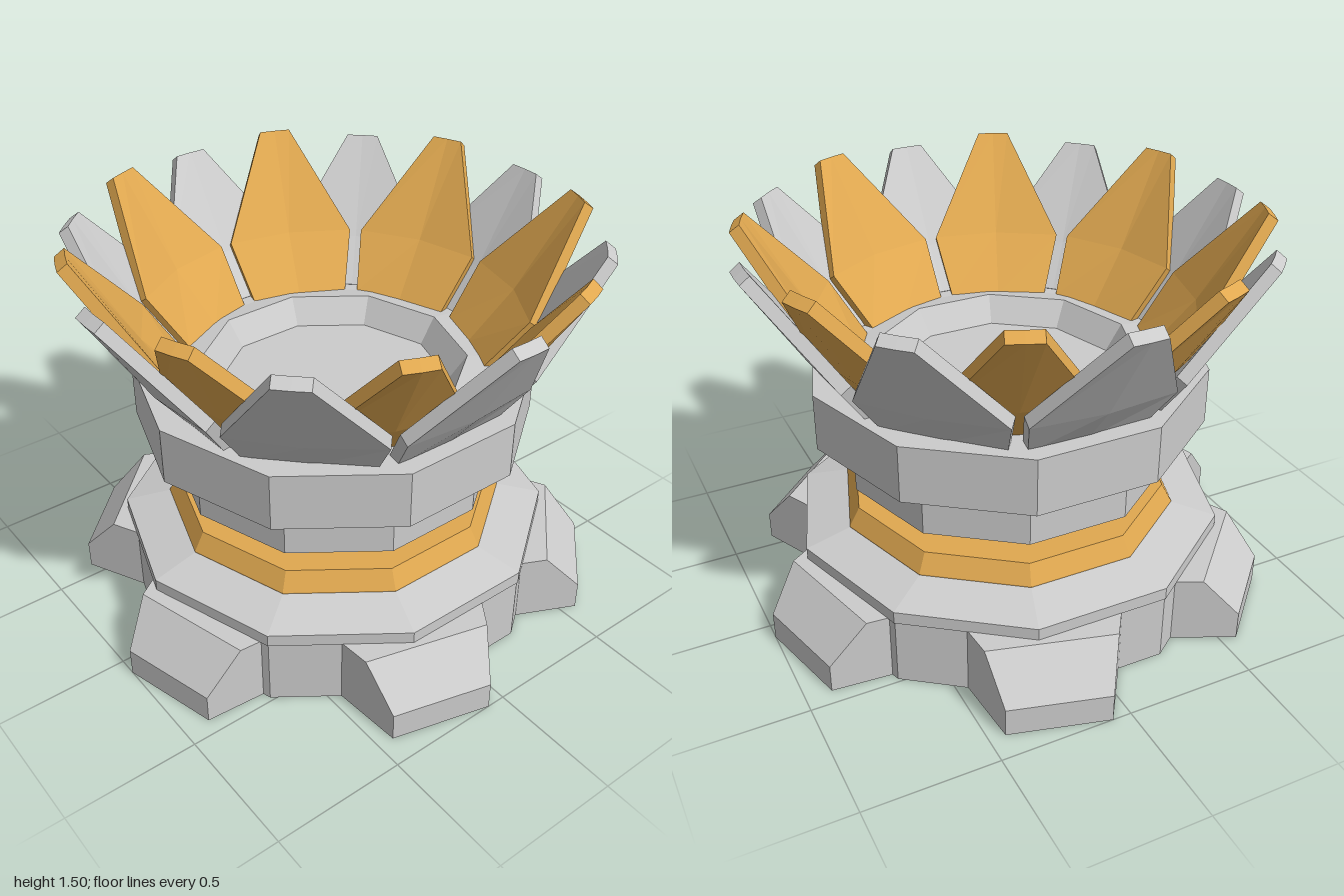
import * as THREE from 'three';

const SIDES = 10;
const grey = new THREE.MeshStandardMaterial({ color: 0xcccccc, flatShading: true });
const gold = new THREE.MeshStandardMaterial({ color: 0xe0a850, flatShading: true });

// Ten-sided turned part from [radius, y] pairs, bottom to top
function turned(name, profile, material = grey) {
  const points = profile.map(([r, y]) => new THREE.Vector2(r, y));
  const mesh = new THREE.Mesh(new THREE.LatheGeometry(points, SIDES), material);
  mesh.name = name;
  return mesh;
}

// Buttress foot: sloped side profile, narrowing outwards
function footGeometry() {
  const profile = [[0.6, 0], [0.985, 0], [0.985, 0.11], [0.85, 0.264], [0.6, 0.264]];
  const shape = new THREE.Shape(profile.map(([r, y]) => new THREE.Vector2(r, y)));
  const geometry = new THREE.ExtrudeGeometry(shape, { depth: 1, bevelEnabled: false });
  const pos = geometry.attributes.position;
  for (let i = 0; i < pos.count; i++) {
    const r = pos.getX(i);
    const halfWidth = 0.19 + (0.985 - r) * 0.35;
    pos.setXYZ(i, -(pos.getZ(i) - 0.5) * 2 * halfWidth, pos.getY(i), r);
  }
  geometry.computeVertexNormals();
  return geometry;
}

// Thick petal from rows of { w: half width, y, edge: radius at edge, mid: radius at centre }
function petalGeometry(rows, inset, lift) {
  const outer = rows.map(({ w, y, edge, mid }) =>
    [[-w, y, edge], [0, y, mid], [w, y, edge]]);
  const inner = outer.map(row => row.map(([x, y, z]) => [x, y + lift, z - inset]));
  const verts = [];
  const quad = (a, b, c, d) => verts.push(...a, ...b, ...c, ...a, ...c, ...d);
  for (let i = 0; i < 2; i++) {
    for (let j = 0; j < 2; j++) {
      quad(outer[i][j], outer[i][j + 1], outer[i + 1][j + 1], outer[i + 1][j]);
      quad(inner[i][j + 1], inner[i][j], inner[i + 1][j], inner[i + 1][j + 1]);
    }
  }
  // Rim joining the two skins
  const loop = [[0, 0], [0, 1], [0, 2], [1, 2], [2, 2], [2, 1], [2, 0], [1, 0]];
  loop.forEach(([i, j], k) => {
    const [m, n] = loop[(k + 1) % loop.length];
    quad(outer[i][j], inner[i][j], inner[m][n], outer[m][n]);
  });
  const geometry = new THREE.BufferGeometry();
  geometry.setAttribute('position', new THREE.Float32BufferAttribute(verts, 3));
  geometry.computeVertexNormals();
  return geometry;
}

// Repeat a part around the vertical axis
function ringOf(name, partName, geometry, material, count, startDegrees) {
  const group = new THREE.Group();
  group.name = name;
  for (let k = 0; k < count; k++) {
    const mesh = new THREE.Mesh(geometry, material);
    mesh.name = partName;
    mesh.rotation.y = THREE.MathUtils.degToRad(startDegrees + (360 / count) * k);
    group.add(mesh);
  }
  return group;
}

export function createModel() {
  const model = new THREE.Group();
  model.name = 'petalPedestal';

  // Stacked pedestal
  model.add(
    turned('base', [[0, 0], [0.825, 0], [0.825, 0.265], [0, 0.265]]),
    turned('baseStep', [[0, 0.262], [0.83, 0.262], [0.83, 0.31], [0.65, 0.355], [0, 0.355]]),
    turned('goldRing', [[0.655, 0.35], [0.655, 0.358], [0.615, 0.43], [0, 0.43]], gold),
    turned('neck', [[0.35, 0.42], [0.35, 0.53]]),
    turned('drum', [[0, 0.515], [0.62, 0.515], [0.62, 0.74]]),
    // Collar with a raised lip around a shallow recess
    turned('collar', [[0, 0.73], [0.755, 0.73], [0.755, 0.95], [0.58, 0.95],
      [0.5, 0.96], [0.435, 0.86], [0, 0.86]])
  );
  model.add(ringOf('feet', 'foot', footGeometry(), grey, 6, 15));

  // Two staggered rings of petals
  const outerPetal = petalGeometry([
    { w: 0.225, y: 0.925, edge: 0.63, mid: 0.635 },
    { w: 0.275, y: 1.085, edge: 0.735, mid: 0.76 },
    { w: 0.062, y: 1.44, edge: 0.978, mid: 0.98 },
  ], 0.037, 0.028);
  const innerPetal = petalGeometry([
    { w: 0.19, y: 0.92, edge: 0.56, mid: 0.57 },
    { w: 0.25, y: 1.12, edge: 0.7, mid: 0.74 },
    { w: 0.06, y: 1.475, edge: 0.96, mid: 0.962 },
  ], 0.037, 0.028);
  model.add(
    ringOf('outerPetals', 'outerPetal', outerPetal, grey, 8, 0),
    ringOf('innerPetals', 'innerPetal', innerPetal, gold, 8, 22.5)
  );
  return model;
}
